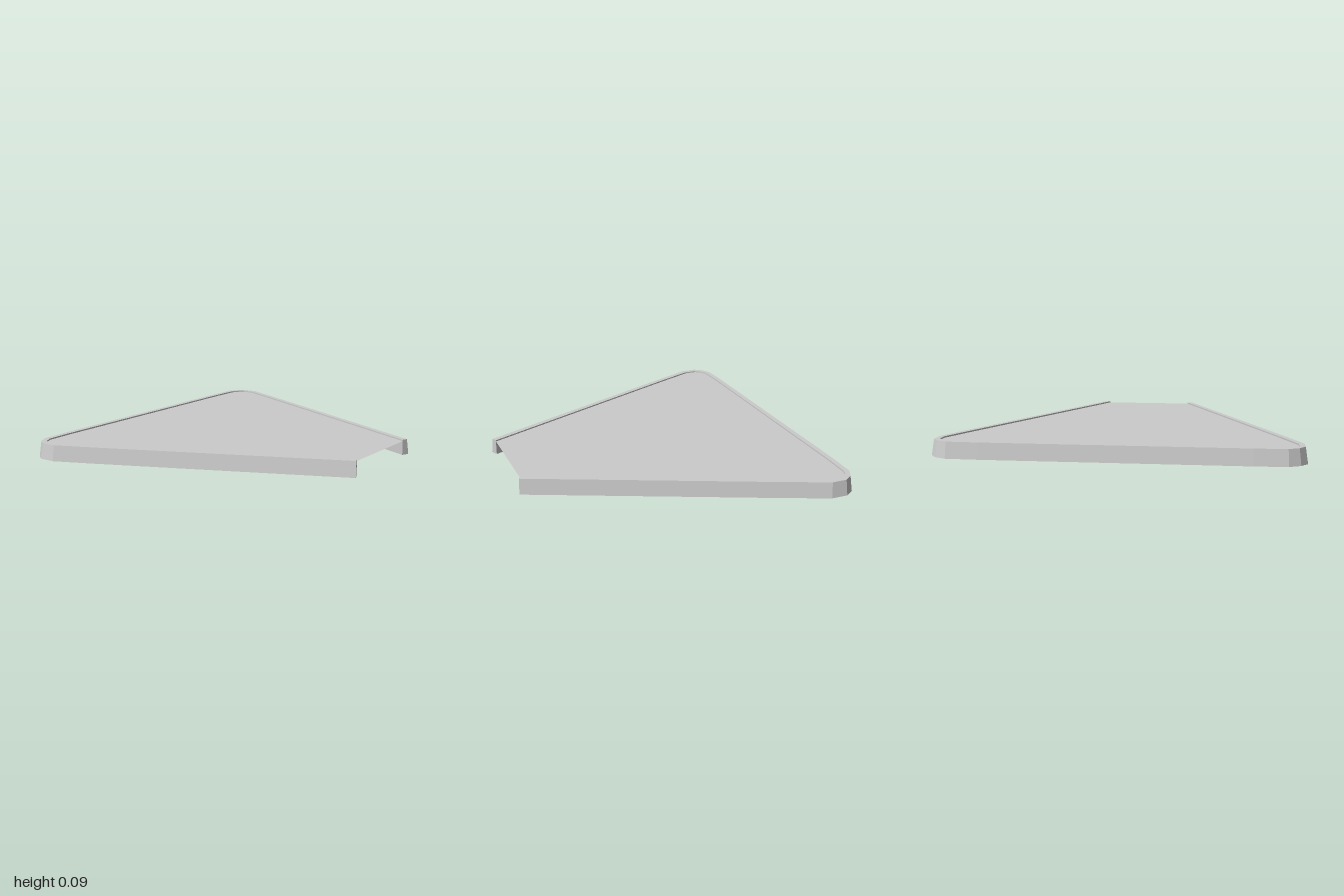
import * as THREE from 'three';

const HEIGHT = 0.09;
const PLATE_Y = 0.082;
const WALL = 0.045; // rim width at the base
const TAPER = 0.014; // how far the outer face leans in

// Outer base outline as [x, z], from the left front end round the back
const half = [[0.31, 0.875], [0.907, -0.47], [1, -0.69], [1, -0.785], [0.963, -0.838], [0.9, -0.873], [0.72, -0.88]];
const outline = [...half, ...half.slice().reverse().map(([x, z]) => [-x, z])];

// Moves the open outline inward by d, with mitred corners
function inset(points, d) {
  const normals = points.slice(1).map(([x, z], i) =>
    new THREE.Vector2(z - points[i][1], points[i][0] - x).normalize());
  return points.map(([x, z], i) => {
    const a = normals[Math.max(i - 1, 0)];
    const b = normals[Math.min(i, normals.length - 1)];
    const m = a.clone().add(b);
    m.multiplyScalar(d / (1 + a.dot(b)));
    return [x + m.x, z + m.y];
  });
}

// Rim: a four-sided section swept along the open outline
function rimGeometry() {
  const rails = [[0, 0], [TAPER, HEIGHT], [WALL, HEIGHT], [WALL, 0]]
    .map(([d, y]) => inset(outline, d).map(([x, z]) => [x, y, z]));
  const positions = [];
  const quad = (a, b, c, d) => positions.push(...a, ...b, ...c, ...a, ...c, ...d);
  const last = outline.length - 1;
  for (let i = 0; i < last; i++) {
    for (let k = 0; k < 4; k++) {
      const n = (k + 1) % 4;
      quad(rails[k][i], rails[k][i + 1], rails[n][i + 1], rails[n][i]);
    }
  }
  // End caps at the open front
  quad(rails[0][0], rails[1][0], rails[2][0], rails[3][0]);
  quad(rails[3][last], rails[2][last], rails[1][last], rails[0][last]);

  const geometry = new THREE.BufferGeometry();
  geometry.setAttribute('position', new THREE.Float32BufferAttribute(positions, 3));
  geometry.computeVertexNormals();
  return geometry;
}

// Plate: a thin sheet filling the rim just below its top
function plateGeometry() {
  const shape = new THREE.Shape(inset(outline, WALL).map(([x, z]) => new THREE.Vector2(x, -z)));
  return new THREE.ShapeGeometry(shape).rotateX(-Math.PI / 2).translate(0, PLATE_Y, 0);
}

export function createModel() {
  const group = new THREE.Group();
  group.name = 'tray';

  const rim = new THREE.Mesh(rimGeometry(),
    new THREE.MeshStandardMaterial({ color: 0xcccccc, flatShading: true }));
  rim.name = 'rim';

  const plate = new THREE.Mesh(plateGeometry(),
    new THREE.MeshStandardMaterial({ color: 0xcccccc, flatShading: true, side: THREE.DoubleSide }));
  plate.name = 'plate';

  group.add(rim, plate);
  return group;
}
